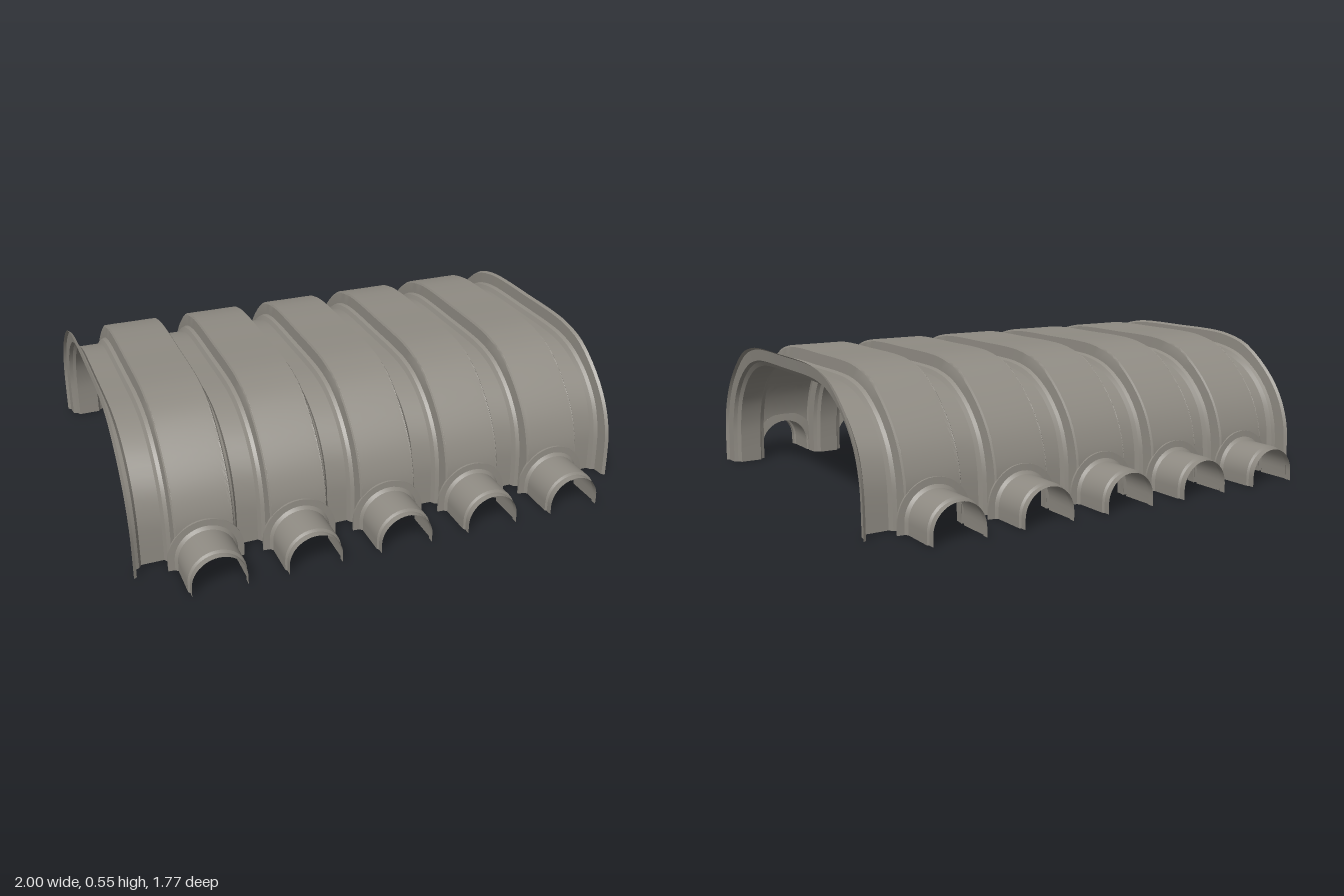
import * as THREE from 'three';
import { toCreasedNormals } from 'three/addons/utils/BufferGeometryUtils.js';

const PITCH = 0.364;
const RIBS = [-2, -1, 0, 1, 2].map(i => i * PITCH);

// Half arches from foot to crown as [z, y]: valley and crest, matched point by point
const VALLEY = [[0.633, 0], [0.63, 0.1], [0.62, 0.19], [0.585, 0.29], [0.51, 0.38], [0.41, 0.44], [0.31, 0.467], [0.2, 0.475], [0, 0.475]];
const CREST = [[0.708, 0], [0.706, 0.1], [0.696, 0.2], [0.652, 0.31], [0.57, 0.412], [0.45, 0.503], [0.33, 0.54], [0.205, 0.551], [0, 0.551]];

function archCurve(half) {
  const mirrored = half.slice(0, -1).reverse().map(([z, y]) => [-z, y]);
  const pts = [...half, ...mirrored].map(([z, y]) => new THREE.Vector3(0, y, z));
  return new THREE.CatmullRomCurve3(pts, false, 'catmullrom', 0.5);
}

// Surface through equal-length rows of points
function loft(rows, crease) {
  const n = rows[0].length, index = [];
  for (let i = 0; i < rows.length - 1; i++) {
    for (let j = 0; j < n - 1; j++) {
      const a = i * n + j, b = a + n;
      index.push(a, a + 1, b, b, a + 1, b + 1);
    }
  }
  const g = new THREE.BufferGeometry().setFromPoints(rows.flat());
  g.setIndex(index);
  return toCreasedNormals(g, crease);
}

// Corrugation as [x, height 0..1, height of side opening]
function corrugation() {
  const hw = 0.108, leg = 0.042;
  const step = [[0.113, 0.9], [0.118, 0.3], [0.132, 0.22], [0.142, 0]];
  const cols = [[-1, 1, 0], [-0.988, 0.9, 0], [-0.983, 0.3, 0], [-0.968, 0.22, 0], [-0.957, 0, 0]];
  for (const c of RIBS) {
    for (const [d, h] of [...step].reverse()) cols.push([c - d, h, 0]);
    for (let i = 0; i <= 16; i++) {
      const a = Math.PI * (1 - i / 16);
      cols.push([c + hw * Math.cos(a), 1, leg + hw * Math.sin(a)]);
    }
    for (const [d, h] of step) cols.push([c + d, h, 0]);
  }
  cols.push([0.957, 0, 0], [0.968, 0.22, 0], [0.983, 0.3, 0], [0.988, 0.9, 0], [1, 1, 0]);
  return cols;
}

function shellGeometry() {
  const valley = archCurve(VALLEY), crest = archCurve(CREST), N = 48;
  const at = (u, h) => valley.getPoint(u).lerp(crest.getPoint(u), h);
  const rows = corrugation().map(([x, h, cut]) => {
    // Parameter where the arch clears the pipe opening
    let lo = 0, hi = 0.3;
    for (let k = 0; k < 24 && cut > 0; k++) {
      const mid = (lo + hi) / 2;
      if (at(mid, h).y < cut) lo = mid; else hi = mid;
    }
    return Array.from({ length: N + 1 }, (_, j) => at(lo + (1 - 2 * lo) * j / N, h).setX(x));
  });
  return loft(rows, 0.45);
}

// Stilted half-round section: half width, height, depth
function archSection([z, hw, h]) {
  const pts = [new THREE.Vector3(hw, 0, z)];
  for (let i = 0; i <= 20; i++) {
    const a = Math.PI * i / 20;
    pts.push(new THREE.Vector3(hw * Math.cos(a), h - hw + hw * Math.sin(a), z));
  }
  pts.push(new THREE.Vector3(-hw, 0, z));
  return pts;
}

export function createModel() {
  const group = new THREE.Group();
  const plastic = new THREE.MeshStandardMaterial({ color: 0x8f8b83, side: THREE.DoubleSide });
  plastic.name = 'warm grey plastic';

  // Corrugated arch with end flanges and side openings
  const shell = new THREE.Mesh(shellGeometry(), plastic);
  shell.name = 'corrugatedShell';
  group.add(shell);

  // Half pipe with collar plate, fillet and stepped end
  const pipeGeometry = loft([
    [0.698, 0.11, 0.15], [0.7, 0.145, 0.188], [0.708, 0.145, 0.188], [0.71, 0.12, 0.163],
    [0.72, 0.11, 0.151], [0.853, 0.11, 0.151], [0.86, 0.104, 0.142], [0.886, 0.104, 0.142],
  ].map(archSection), 0.5);
  for (const x of RIBS) {
    for (const side of ['front', 'back']) {
      const pipe = new THREE.Mesh(pipeGeometry, plastic);
      pipe.name = side + 'Pipe';
      pipe.position.x = x;
      if (side === 'back') pipe.rotation.y = Math.PI;
      group.add(pipe);
    }
  }
  return group;
}
